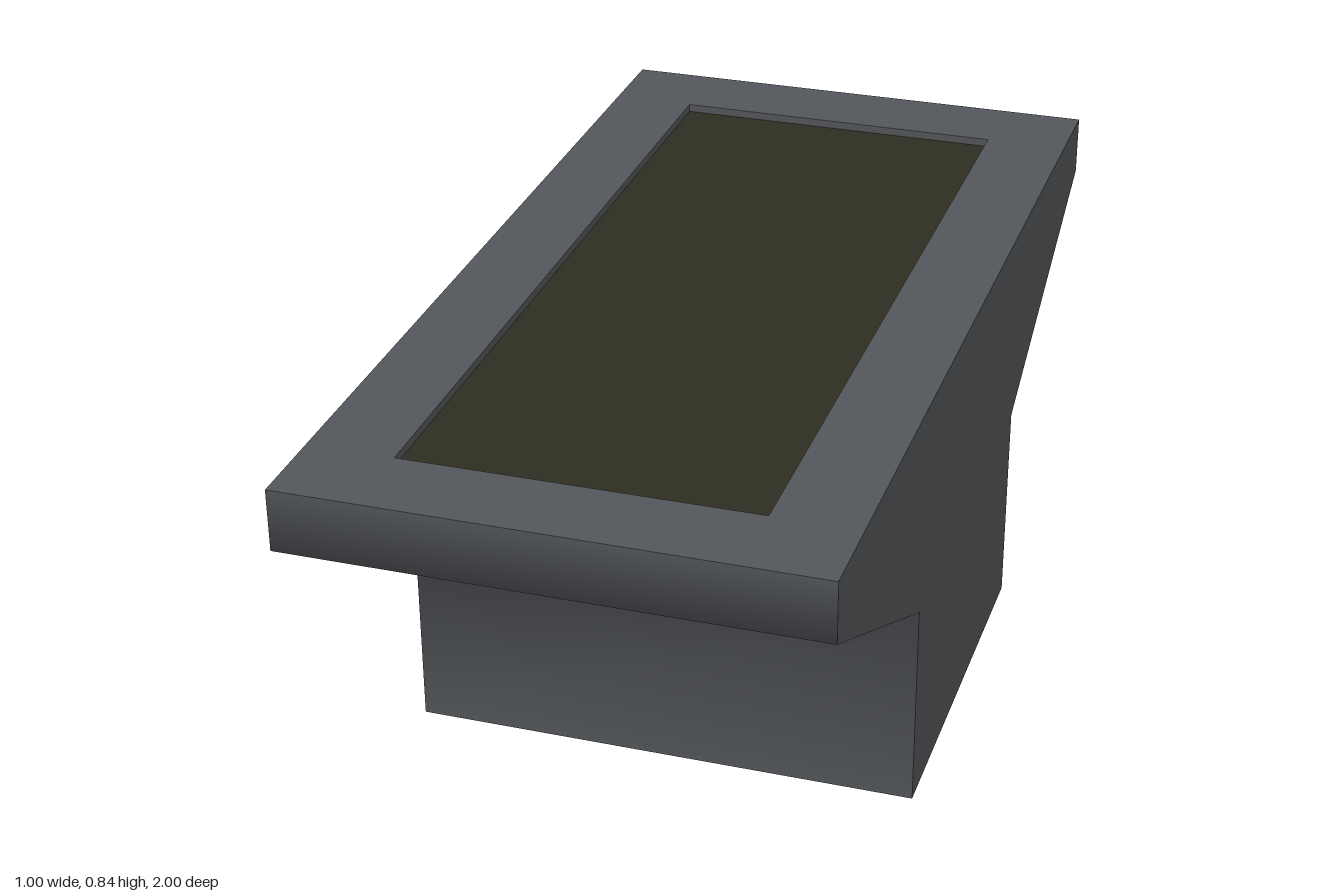
import * as THREE from 'three';

export function createModel() {
  const concrete = new THREE.MeshStandardMaterial({ color: 0x53565a });
  concrete.name = 'concrete';
  const soilBrown = new THREE.MeshStandardMaterial({ color: 0x2e2d22 });
  soilBrown.name = 'soil brown';

  const W = 0.5, L = 1, H = 0.84;          // half width, half length, height
  const soilW = 0.335, soilL = 0.833, depth = 0.016;
  // Half profile of the trough, top to bottom: [z, y]
  const profile = [[L, H], [L, 0.72], [0.4, 0.42], [0.4, 0]];

  const model = new THREE.Group();
  model.name = 'planter';
  const add = (name, geometry, material = concrete, parent = model) => {
    const mesh = new THREE.Mesh(geometry, material);
    mesh.name = name;
    parent.add(mesh);
    return mesh;
  };

  // End walls: lip, sloping underside and foot as one smooth strip
  const positions = [], indices = [];
  profile.forEach(([z, y], i) => {
    positions.push(-W, y, z, W, y, z);
    if (i < profile.length - 1) {
      const a = i * 2;
      indices.push(a, a + 2, a + 1, a + 2, a + 3, a + 1);
    }
  });
  const strip = new THREE.BufferGeometry();
  strip.setAttribute('position', new THREE.Float32BufferAttribute(positions, 3));
  strip.setIndex(indices);
  strip.computeVertexNormals();
  add('frontWall', strip);
  add('backWall', strip).rotation.y = Math.PI;

  // Flat T-shaped sides
  const outline = [...profile, ...profile.slice().reverse().map(([z, y]) => [-z, y])];
  const side = new THREE.ShapeGeometry(
    new THREE.Shape(outline.map(([z, y]) => new THREE.Vector2(z, y))));
  side.rotateY(Math.PI / 2).translate(W, 0, 0);
  add('leftSide', side);
  add('rightSide', side).rotation.y = Math.PI;

  // Underside of the foot
  add('base', new THREE.PlaneGeometry(W * 2, 0.8).rotateX(Math.PI / 2));

  // Top rim with the planting opening
  const rectangle = (Type, w, l) => new Type([
    new THREE.Vector2(-w, -l), new THREE.Vector2(w, -l),
    new THREE.Vector2(w, l), new THREE.Vector2(-w, l)]);
  const rim = rectangle(THREE.Shape, W, L);
  rim.holes.push(rectangle(THREE.Path, soilW, soilL));
  add('rim', new THREE.ShapeGeometry(rim).rotateX(-Math.PI / 2).translate(0, H, 0));

  // Inner faces of the opening
  const opening = new THREE.Group();
  opening.name = 'opening';
  model.add(opening);
  for (let i = 0; i < 4; i++) {
    const [span, offset] = i % 2 ? [soilL, soilW] : [soilW, soilL];
    const wall = new THREE.PlaneGeometry(span * 2, depth);
    wall.translate(0, H - depth / 2, -offset).rotateY(i * Math.PI / 2);
    add('openingWall', wall, concrete, opening);
  }

  // Soil just below the rim
  add('soil', new THREE.PlaneGeometry(soilW * 2, soilL * 2)
    .rotateX(-Math.PI / 2).translate(0, H - depth, 0), soilBrown);

  return model;
}
